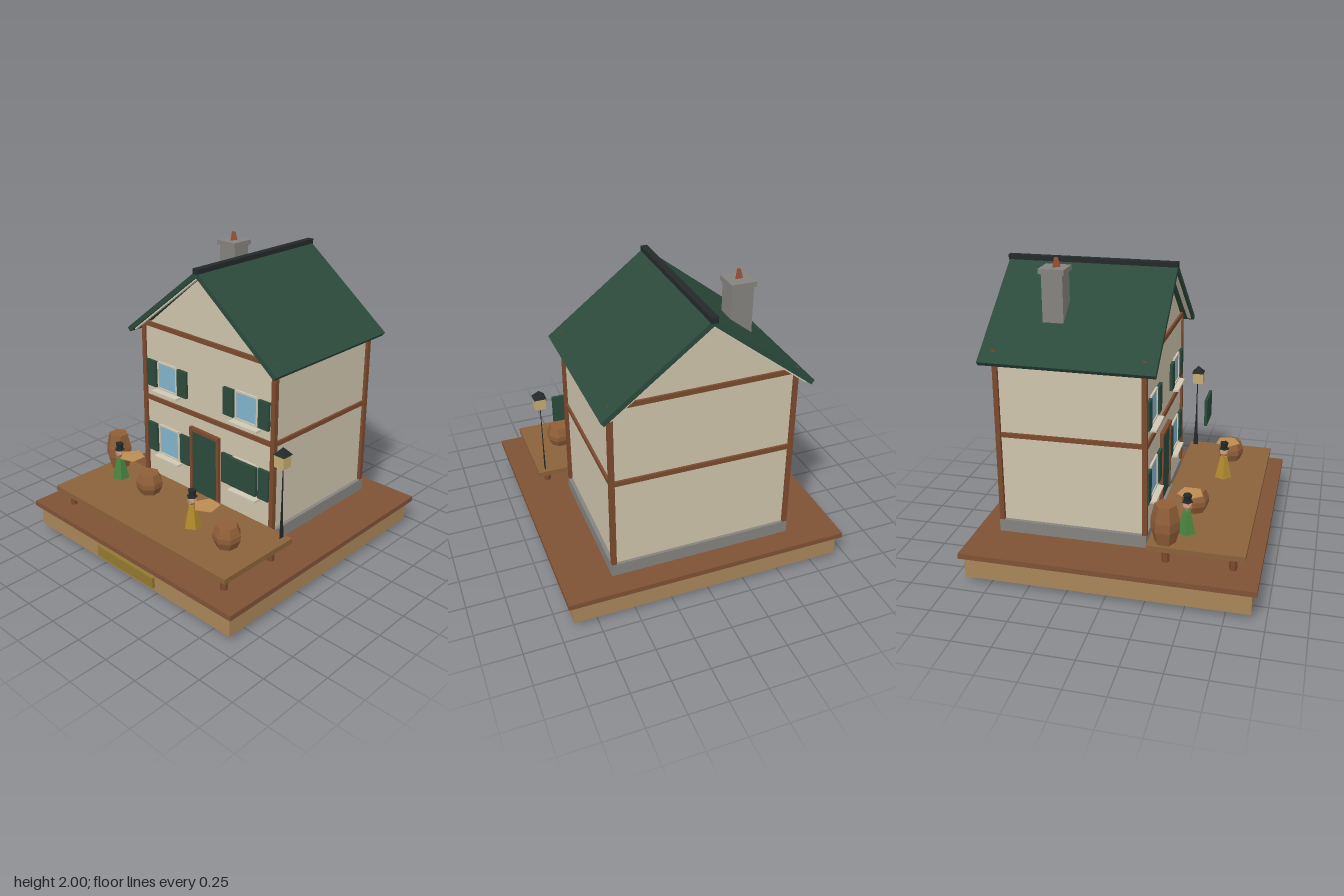
import * as THREE from 'three';

const COLORS = {
  earth: 0x7f5236, plank: 0x8a623b, tan: 0xa9865a, brass: 0x92792f, stone: 0x85837f,
  wall: 0xcfc4ac, beam: 0x7b4a2e, green: 0x2c4a3c, black: 0x24292a, glass: 0x82b4cc,
  cream: 0xd0c8b4, barrel: 0x8f5e38, robeGreen: 0x4a8440, robeGold: 0xb08a2c,
  skin: 0xc09070, lamp: 0xc4ad70, sheet: 0xbc8c52, clay: 0x9a5034,
};
const mats = {};
for (const k in COLORS) {
  mats[k] = new THREE.MeshStandardMaterial({ color: COLORS[k], flatShading: true, side: THREE.DoubleSide });
}

export function createModel() {
  const root = new THREE.Group();

  const add = (name, geo, mat, parent = root) => {
    const m = new THREE.Mesh(geo, mats[mat]);
    m.name = name;
    parent.add(m);
    return m;
  };
  // Box given by its lower and upper limits on each axis
  const box = (name, mat, x0, x1, y0, y1, z0, z1, parent) => {
    const m = add(name, new THREE.BoxGeometry(x1 - x0, y1 - y0, z1 - z0), mat, parent);
    m.position.set((x0 + x1) / 2, (y0 + y1) / 2, (z0 + z1) / 2);
    return m;
  };
  const drum = (name, mat, rTop, rBottom, y0, y1, sides, x, z, parent) => {
    const m = add(name, new THREE.CylinderGeometry(rTop, rBottom, y1 - y0, sides), mat, parent);
    m.position.set(x, (y0 + y1) / 2, z);
    return m;
  };

  // Display base
  box('baseBody', 'tan', -0.91, 0.905, 0.04, 0.185, -0.91, 0.91);
  box('baseTop', 'earth', -0.94, 0.94, 0.185, 0.22, -0.94, 0.94);
  box('plaque', 'brass', -0.27, 0.265, 0.07, 0.145, 0.9, 0.93);

  // Front deck on four posts
  box('deck', 'plank', -0.8, 0.81, 0.325, 0.36, 0.24, 0.85);
  for (const x of [-0.72, 0.73]) for (const z of [0.35, 0.77]) {
    drum('deckPost', 'beam', 0.025, 0.025, 0, 0.33, 6, x, z);
  }

  // House body with gables
  box('foundation', 'stone', -0.6, 0.615, 0.22, 0.305, -0.785, 0.2);
  const outline = new THREE.Shape([
    [-0.575, 0.3], [0.59, 0.3], [0.59, 1.41], [0.005, 1.885], [-0.575, 1.41],
  ].map(([x, y]) => new THREE.Vector2(x, y)));
  add('walls', new THREE.ExtrudeGeometry(outline, { depth: 0.95, bevelEnabled: false }), 'wall')
    .position.z = -0.765;

  // Slightly crooked timber frame
  for (const x of [-0.58, 0.595]) for (const z of [-0.765, 0.185]) {
    const post = box('cornerPost', 'beam', x - 0.016, x + 0.016, 0.305, 1.45, z - 0.016, z + 0.016);
    post.rotation.z = x < 0 ? -0.006 : 0.004;
    post.rotation.x = z < 0 ? 0.004 : -0.008;
  }
  for (const z of [-0.765, 0.185]) for (const y of [0.91, 1.445]) {
    box('crossBeam', 'beam', -0.59, 0.605, y - 0.016, y + 0.016, z - 0.015, z + 0.015)
      .rotation.z = y < 1 ? 0.008 : -0.006;
  }
  for (const x of [-0.577, 0.592]) {
    box('sideBeam', 'beam', x - 0.013, x + 0.013, 0.895, 0.925, -0.775, 0.195).rotation.x = -0.01;
  }

  // Roof slabs and ridge
  for (const s of [-1, 1]) {
    const slab = new THREE.Shape([
      [0, 1.92], [s * 0.665, 1.405], [s * 0.645, 1.38], [0, 1.88],
    ].map(([x, y]) => new THREE.Vector2(x, y)));
    add('roofSlope', new THREE.ExtrudeGeometry(slab, { depth: 1.115, bevelEnabled: false }), 'green')
      .position.set(0.005, 0, -0.85);
    // Pale trim under both verges
    for (const z of [-0.835, 0.235]) {
      const trim = box('vergeTrim', 'cream', -0.38, 0.38, -0.006, 0.006, -0.012, 0.012);
      trim.position.set(0.005 + s * 0.31, 1.636, z);
      trim.rotation.z = -s * Math.atan2(0.5, 0.645);
    }
  }
  box('ridge', 'black', -0.017, 0.027, 1.9, 1.935, -0.857, 0.267);

  // Chimney
  box('chimney', 'stone', -0.4, -0.26, 1.5, 1.91, -0.505, -0.37);
  box('chimneyCap', 'stone', -0.412, -0.25, 1.91, 1.942, -0.52, -0.355);
  drum('chimneyPot', 'clay', 0.015, 0.03, 1.94, 2, 3, -0.33, -0.43);

  // Windows with frame, sill and shutters
  const addWindow = (x, y, w, h, gap) => {
    const g = new THREE.Group();
    g.name = 'window';
    g.position.set(x, y, 0.185);
    root.add(g);
    const hw = w / 2, hh = h / 2, t = 0.012;
    box('glass', 'glass', -hw, hw, -hh, hh, 0, 0.006, g);
    for (const s of [-1, 1]) {
      box('frameSide', 'cream', s * hw - t / 2, s * hw + t / 2, -hh, hh, 0, 0.013, g);
      box('frameRail', 'cream', -hw, hw, s * hh - t / 2, s * hh + t / 2, 0, 0.013, g);
      const c = s * (gap + 0.043);
      box('shutter', 'green', c - 0.043, c + 0.043, -hh, hh, 0, 0.02, g);
    }
    box('sill', 'cream', -0.12, 0.12, -hh - 0.03, -hh - 0.015, 0, 0.05, g).rotation.z = 0.01;
  };
  addWindow(-0.355, 1.095, 0.175, 0.19, 0.105);
  addWindow(0.37, 1.095, 0.18, 0.19, 0.107);
  addWindow(-0.35, 0.61, 0.19, 0.215, 0.118);
  addWindow(0.365, 0.61, 0.19, 0.215, 0.118);

  // Door with surround and step
  box('door', 'green', -0.115, 0.12, 0.3, 0.785, 0.18, 0.2);
  for (const x of [-0.122, 0.127]) box('doorJamb', 'beam', x - 0.01, x + 0.01, 0.3, 0.79, 0.18, 0.21);
  box('doorLintel', 'beam', -0.132, 0.138, 0.785, 0.81, 0.18, 0.213).rotation.z = -0.02;
  box('doorStep', 'stone', -0.155, 0.165, 0.28, 0.303, 0.19, 0.295);

  // Hanging sign
  box('signBoard', 'green', 0.425, 0.645, 0.66, 0.855, 0.393, 0.413);

  // Lantern on a thin, tapering post
  const postShape = new THREE.Shape([
    [-0.02, 0.36], [0.015, 0.36], [0.006, 0.6], [0.002, 0.87], [-0.002, 0.87], [-0.007, 0.6],
  ].map(([x, y]) => new THREE.Vector2(x, y)));
  const post = add('lampPost', new THREE.ExtrudeGeometry(postShape, { depth: 0.004, bevelEnabled: false }), 'black');
  post.rotation.y = -Math.PI / 2;
  post.position.set(0.759, 0, 0.285);
  box('lanternGlass', 'lamp', 0.722, 0.795, 0.865, 0.947, 0.257, 0.33);
  const cap = drum('lanternRoof', 'black', 0, 0.06, 0.945, 0.995, 4, 0.758, 0.29);
  cap.geometry.rotateY(Math.PI / 4);

  // Barrels
  const addBarrel = (x, z, height, sides, turn) => {
    const profile = [[0, 0], [0.068, 0], [0.092, 0.36], [0.092, 0.6], [0.068, 1], [0, 1]]
      .map(([r, v]) => new THREE.Vector2(r, v * height));
    const b = add('barrel', new THREE.LatheGeometry(profile, sides), 'barrel');
    b.position.set(x, 0.36, z);
    b.rotation.y = turn;
  };
  addBarrel(-0.72, 0.345, 0.255, 6, 0);
  addBarrel(-0.275, 0.455, 0.145, 7, 0.3);
  addBarrel(0.568, 0.575, 0.145, 7, 0.1);

  // Small figures, each holding out a thin sheet
  const addFigure = (x, z, robe, sheetX, sheetZ, turn) => {
    const g = new THREE.Group();
    g.name = 'figure';
    g.position.set(x, 0, z);
    root.add(g);
    drum('robe', robe, 0.026, 0.06, 0.36, 0.515, 5, 0, 0, g).rotation.y = turn;
    const head = add('head', new THREE.IcosahedronGeometry(0.034, 0), 'skin', g);
    head.position.y = 0.545;
    drum('hatBrim', 'black', 0.033, 0.036, 0.572, 0.58, 5, 0, 0, g);
    drum('hat', 'black', 0.03, 0.022, 0.58, 0.622, 5, 0, 0, g);
    const sheet = drum('sheet', 'sheet', 0.088, 0.088, 0.564, 0.568, 5, sheetX, sheetZ, g);
    sheet.rotation.y = turn;
  };
  addFigure(-0.58, 0.455, 'robeGreen', 0.13, -0.003, -Math.PI / 2);
  addFigure(0.255, 0.565, 'robeGold', 0.135, 0.008, -Math.PI / 2 + 0.2);

  return root;
}
